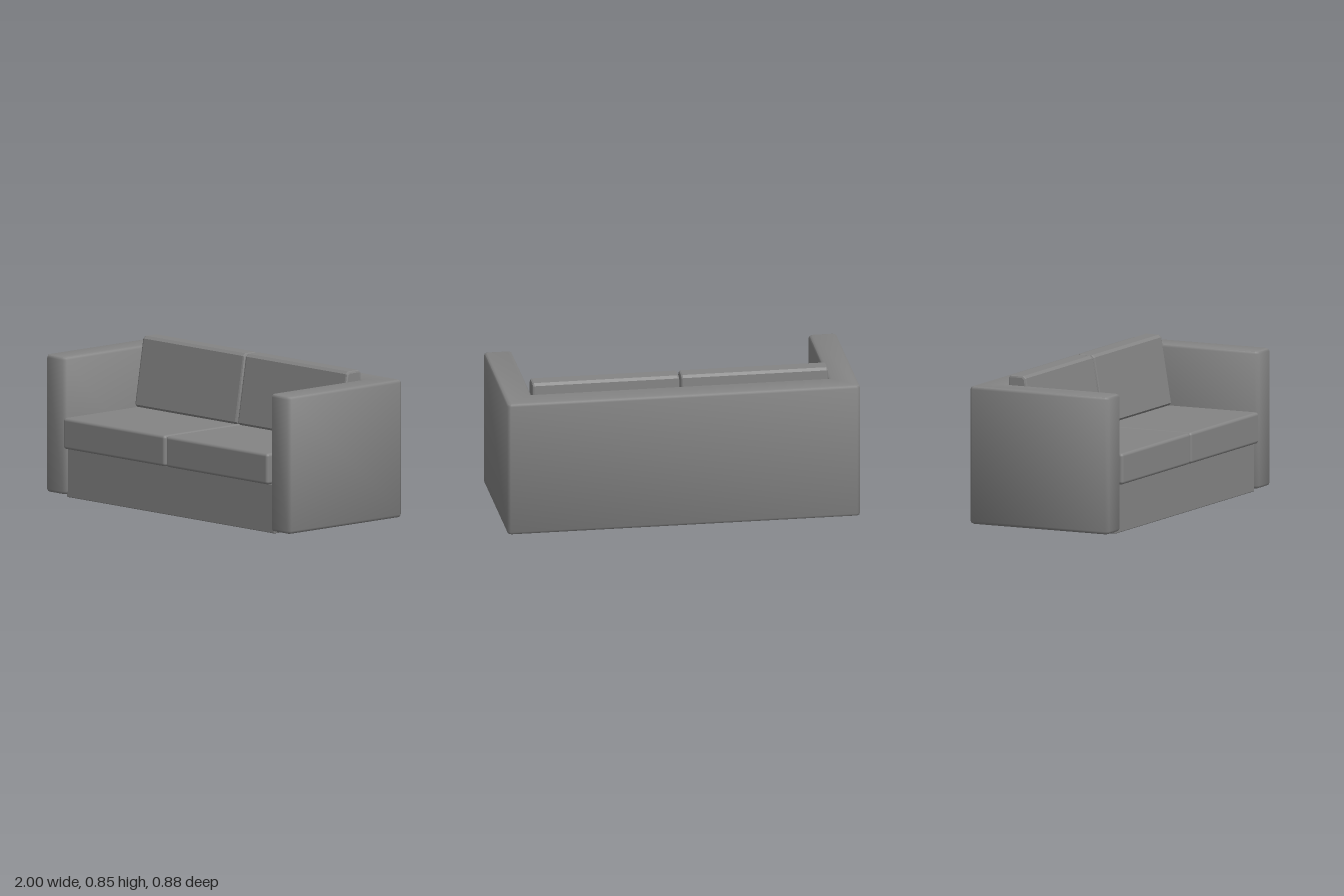
import * as THREE from 'three';
import { RoundedBoxGeometry } from 'three/addons/geometries/RoundedBoxGeometry.js';
import { toCreasedNormals } from 'three/addons/utils/BufferGeometryUtils.js';

const fabric = new THREE.MeshStandardMaterial({ color: 0x848484 });

// Outline with clipped corners; a third value of 1 keeps that corner sharp
function outline(points, cut) {
  const corners = points.map(([x, y]) => new THREE.Vector2(x, y));
  const result = [];
  corners.forEach((p, i) => {
    if (points[i][2]) return result.push(p);
    const n = corners.length;
    for (const q of [corners[(i + n - 1) % n], corners[(i + 1) % n]]) {
      result.push(p.clone().add(q.clone().sub(p).setLength(cut)));
    }
  });
  return new THREE.Shape(result);
}

// Softly bevelled prism whose overall length is `depth`, starting at z = 0
function softPrism(points, depth, cut, bevel, crease) {
  const geometry = new THREE.ExtrudeGeometry(outline(points, cut), {
    depth: depth - 2 * bevel, bevelSize: bevel, bevelThickness: bevel,
    bevelOffset: -bevel, bevelSegments: 2,
  });
  geometry.translate(0, 0, bevel);
  return toCreasedNormals(geometry, crease);
}

export function createModel() {
  const sofa = new THREE.Group();
  sofa.name = 'sofa';

  function add(name, geometry, x, y, z) {
    const mesh = new THREE.Mesh(geometry, fabric);
    mesh.name = name;
    mesh.position.set(x, y, z);
    sofa.add(mesh);
  }

  // Arms and back in one U-shaped shell (plan outline, extruded upwards)
  const shell = softPrism([
    [-1, -0.43], [-0.84, -0.43], [-0.84, 0.29, 1], [0.84, 0.29, 1],
    [0.84, -0.43], [1, -0.43], [1, 0.442], [-1, 0.442],
  ], 0.78, 0.018, 0.017, 0.9);
  shell.rotateX(-Math.PI / 2);
  add('armsAndBack', shell, 0, 0.016, 0);

  // Plinth between the arms, reaching the floor
  add('base', new RoundedBoxGeometry(1.7, 0.28, 0.7, 1, 0.006), 0, 0.14, 0.055);

  // Back cushion side profile (-z, y): nearly upright rear, sloping front
  const backCushion = softPrism([
    [0.105, 0.455], [0.288, 0.455], [0.277, 0.85], [0.171, 0.85],
  ], 0.834, 0.014, 0.012, 0.35);
  backCushion.rotateY(Math.PI / 2);

  for (const [side, x] of [['left', 0.417], ['right', -0.425]]) {
    add(side + 'SeatCushion', new RoundedBoxGeometry(0.834, 0.177, 0.725, 2, 0.018), x, 0.3665, 0.08);
    add(side + 'BackCushion', backCushion, x - 0.417, 0, 0);
  }
  return sofa;
}
